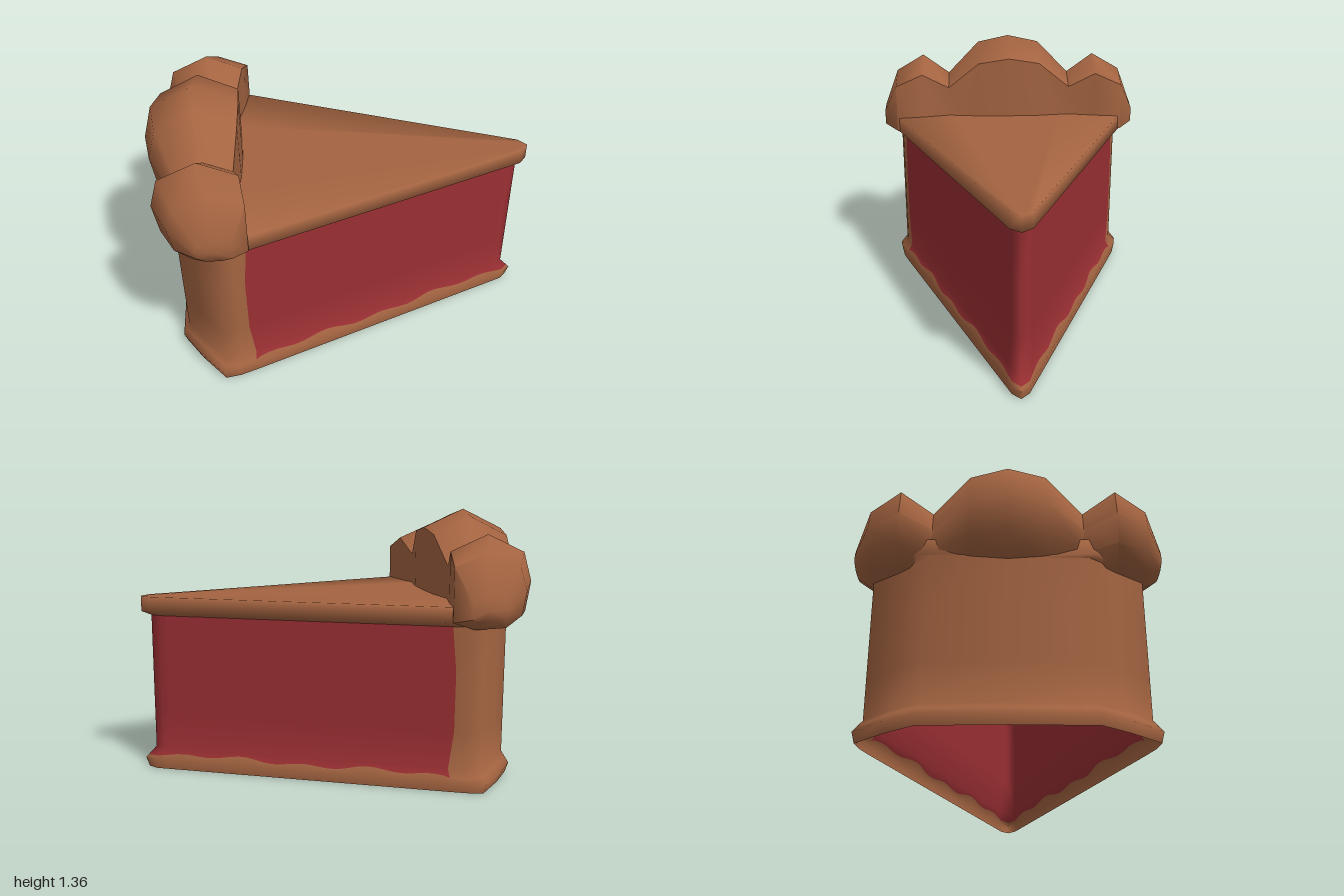
import * as THREE from 'three';
import { toCreasedNormals } from 'three/addons/utils/BufferGeometryUtils.js';

const crust = new THREE.MeshStandardMaterial({ color: 0xa46441, side: THREE.DoubleSide });
crust.name = 'baked crust';
const filling = new THREE.MeshStandardMaterial({ color: 0x9a2f33, side: THREE.DoubleSide });
filling.name = 'cherry filling';

const V = (x, y, z) => new THREE.Vector3(x, y, z);

// Skins closed rings of points; pick(row, column) chooses the material of each quad
function loft(name, rings, crease, pick = () => 0) {
  const n = rings[0].length;
  const faces = [[], []];
  for (let r = 0; r < rings.length - 1; r++) {
    for (let i = 0; i < n; i++) {
      const j = (i + 1) % n;
      const a = r * n + i, b = r * n + j, c = a + n, d = b + n;
      faces[pick(r, i)].push(a, b, d, a, d, c);
    }
  }
  const geo = new THREE.BufferGeometry().setFromPoints(rings.flat());
  geo.setIndex([...faces[0], ...faces[1]]);
  geo.addGroup(0, faces[0].length, 0);
  if (faces[1].length) geo.addGroup(faces[0].length, faces[1].length, 1);
  const mesh = new THREE.Mesh(toCreasedNormals(geo, crease), [crust, filling]);
  mesh.name = name;
  return mesh;
}

// Plan of the wedge as [x, z]: tip, left side, back, then the mirrored right side
function plan(sideSteps) {
  const half = [[0.93, 0]];
  for (let k = 0; k <= sideSteps; k++) {
    const t = k / sideSteps;
    half.push([0.89 - 1.405 * t, 0.04 + 0.565 * t]);
  }
  half.push([-0.575, 0.627], [-0.65, 0.64], [-0.77, 0.5], [-0.86, 0.37]);
  const mirrored = half.slice(1).reverse().map(([x, z]) => [x, -z]);
  return [...half, [-0.87, 0], ...mirrored];
}

// Wall with the filling on both cut sides and a bulging base rim, open underneath
function makeWall() {
  const steps = 32;
  const outline = plan(steps);
  const n = outline.length;
  const edge = steps + 1;
  const rim = ([x, z], s = 1) => [(x * 1.05 + 0.01) * s, z * 1.065 * s];
  const level = (y, shift, map = (p) => p) => outline.map((p, i) => {
    const onEdge = i === edge || i === n - edge;
    const s = onEdge ? shift : 0;
    const [x, z] = map([p[0] + s, p[1] - Math.sign(p[1]) * s * 0.4]);
    return V(x, y, z);
  });
  const top = level(0.11, 0.015);
  const bulge = level(0.05, 0.025, (p) => rim(p));
  // Uneven lower edge of the filling, running along the slope of the rim
  const drips = top.map((p, i) => {
    const x = outline[i][0];
    const t = 0.5 + 0.14 * Math.sin(21 * x + 1) + 0.1 * Math.sin(9 * x);
    return p.clone().lerp(bulge[i], t);
  });
  const rings = [
    level(0.835, 0.01), level(0.6, -0.01), level(0.3, -0.008), top, drips, bulge,
    level(0, 0.025, (p) => rim(p, 0.983)),
  ];
  const cutSide = (i) => i < edge || i >= n - edge;
  return loft('wall', rings, 1.65, (r, i) => (r < 4 && cutSide(i) ? 1 : 0));
}

// Flat lid with a small overhanging lip
function makeLid() {
  const outline = plan(1);
  const lip = outline.map(([x, z]) => [
    Math.max(x * 1.04 + 0.013, -0.86),
    Math.sign(z) * Math.min(Math.abs(z) * 1.06 + 0.01, 0.655),
  ]);
  const at = (pts, y, zScale = 1) => pts.map(([x, z]) => V(x, y, z * zScale));
  const rings = [at(lip, 0.92, 0), at(lip, 0.92, 0.46), at(lip, 0.92), at(lip, 0.84), at(outline, 0.82)];
  return loft('lid', rings, 1.65);
}

// Crimped crust edge: a big lump in the middle and a smaller one at each end
function makeCrimp() {
  const section = [[0.1, 1], [-0.8, 0.62], [-1, 0], [-0.88, -0.65], [-0.45, -0.97], [0.4, -1], [1, -0.8], [1, 0.65]];
  // z, back x, front x, bottom y, top y
  const half = [
    [0, -1, -0.52, 0.8, 1.355],
    [0.175, -0.965, -0.525, 0.8, 1.32],
    [0.35, -0.86, -0.55, 0.8, 1.145],
    [0.5, -0.93, -0.515, 0.79, 1.25],
    [0.65, -0.85, -0.49, 0.81, 1.17],
    [0.725, -0.73, -0.56, 0.86, 0.97],
    [0.73, -0.64, -0.64, 0.91, 0.91],
  ];
  const stations = [...half.slice(1).reverse().map(([z, ...rest]) => [-z, ...rest]), ...half];
  const rings = stations.map(([z, back, front, low, high]) => section.map(([u, v]) =>
    V((back + front) / 2 + u * (front - back) / 2, (low + high) / 2 + v * (high - low) / 2, z)));
  return loft('crimpedEdge', rings, 1.0);
}

export function createModel() {
  const group = new THREE.Group();
  group.name = 'pieSlice';
  group.add(makeWall(), makeLid(), makeCrimp());
  return group;
}
